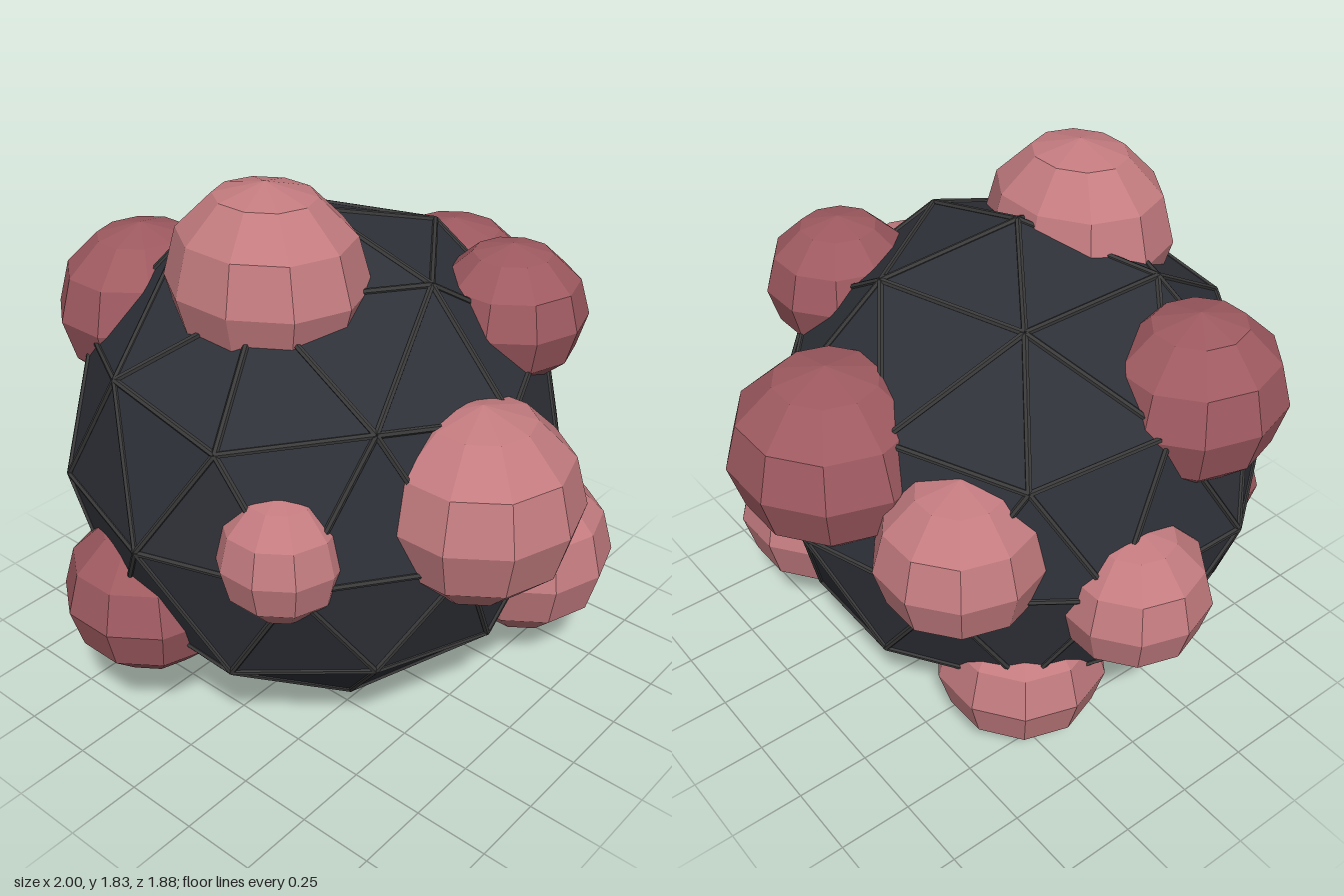
import * as THREE from 'three';
import { mergeGeometries } from 'three/addons/utils/BufferGeometryUtils.js';

const CENTRE = [-0.03, 0.835, 0.06];
const RADIUS = 0.825;

const paint = (color) => new THREE.MeshStandardMaterial({ color, flatShading: true });

// Icosahedron standing on a corner, each face split in four
function coreGeometry() {
  const points = [0, 1, 0];
  const faces = [];
  for (let i = 0; i < 5; i++) {
    const a = i * Math.PI * 0.4;
    const b = a + Math.PI * 0.2;
    points.push(2 * Math.cos(a), 1, 2 * Math.sin(a), 2 * Math.cos(b), -1, 2 * Math.sin(b));
  }
  points.push(0, -1, 0);
  // Put the two rings at the right height relative to the poles
  points[1] = Math.sqrt(5);
  points[34] = -Math.sqrt(5);
  for (let i = 0; i < 5; i++) {
    const up = 1 + 2 * i, low = up + 1;
    const nextUp = 1 + 2 * ((i + 1) % 5), nextLow = nextUp + 1;
    faces.push(0, nextUp, up, up, nextUp, low, low, nextUp, nextLow, 11, low, nextLow);
  }
  return new THREE.PolyhedronGeometry(points, faces, RADIUS, 1);
}

// Thin rod from one point to another
function rod(a, b) {
  const g = new THREE.CylinderGeometry(0.01, 0.01, a.distanceTo(b), 6);
  const turn = new THREE.Quaternion().setFromUnitVectors(
    new THREE.Vector3(0, 1, 0), b.clone().sub(a).normalize());
  const mid = a.clone().add(b).multiplyScalar(0.5);
  return g.applyQuaternion(turn).translate(mid.x, mid.y, mid.z);
}

export function createModel() {
  const model = new THREE.Group();
  model.name = 'studdedBall';

  // Dark faceted core
  const geometry = coreGeometry();
  const core = new THREE.Mesh(geometry, paint(0x2e3138));
  core.name = 'core';
  core.position.set(...CENTRE);
  model.add(core);

  // Raised seams along every edge of the core
  const ends = new THREE.EdgesGeometry(geometry, 1).attributes.position;
  const rods = [];
  for (let i = 0; i < ends.count; i += 2) {
    rods.push(rod(
      new THREE.Vector3().fromBufferAttribute(ends, i),
      new THREE.Vector3().fromBufferAttribute(ends, i + 1)));
  }
  const seams = new THREE.Mesh(mergeGeometries(rods), paint(0x3a3a3a));
  seams.name = 'seams';
  seams.position.set(...CENTRE);
  model.add(seams);

  // Low-poly lumps: name, centre, radii along each axis
  const light = paint(0xc47c80);
  const dark = paint(0x9e5a60);
  const lumps = [
    ['topLump', light, [0.005, 1.53, 0.33], [0.323, 0.303, 0.288]],
    ['leftLump', light, [0.675, 0.966, 0.163], [0.32, 0.317, 0.32]],
    ['smallFrontLump', light, [0.34, 0.885, 0.65], [0.2, 0.216, 0.2]],
    ['rightLump', light, [-0.755, 0.765, -0.07], [0.245, 0.24, 0.245]],
    ['lowerBackLeftLump', light, [0.51, 0.43, -0.393], [0.3, 0.298, 0.297]],
    ['lowerBackRightLump', light, [-0.45, 0.34, -0.25], [0.285, 0.268, 0.28]],
    ['backRightLump', light, [-0.465, 0.945, -0.49], [0.262, 0.265, 0.272]],
    ['lowerFrontLump', dark, [-0.222, 0.5, 0.675], [0.283, 0.268, 0.28]],
    ['upperRightLump', dark, [-0.605, 1.254, 0.275], [0.28, 0.281, 0.3]],
    ['backLump', dark, [-0.027, 1.13, -0.64], [0.325, 0.293, 0.318]],
    ['upperBackLeftLump', dark, [0.457, 1.351, -0.275], [0.246, 0.225, 0.246]],
  ];
  const ball = new THREE.SphereGeometry(1, 10, 6);
  for (const [name, material, centre, radii] of lumps) {
    const lump = new THREE.Mesh(ball, material);
    lump.name = name;
    lump.position.set(...centre);
    lump.scale.set(...radii);
    model.add(lump);
  }
  return model;
}
